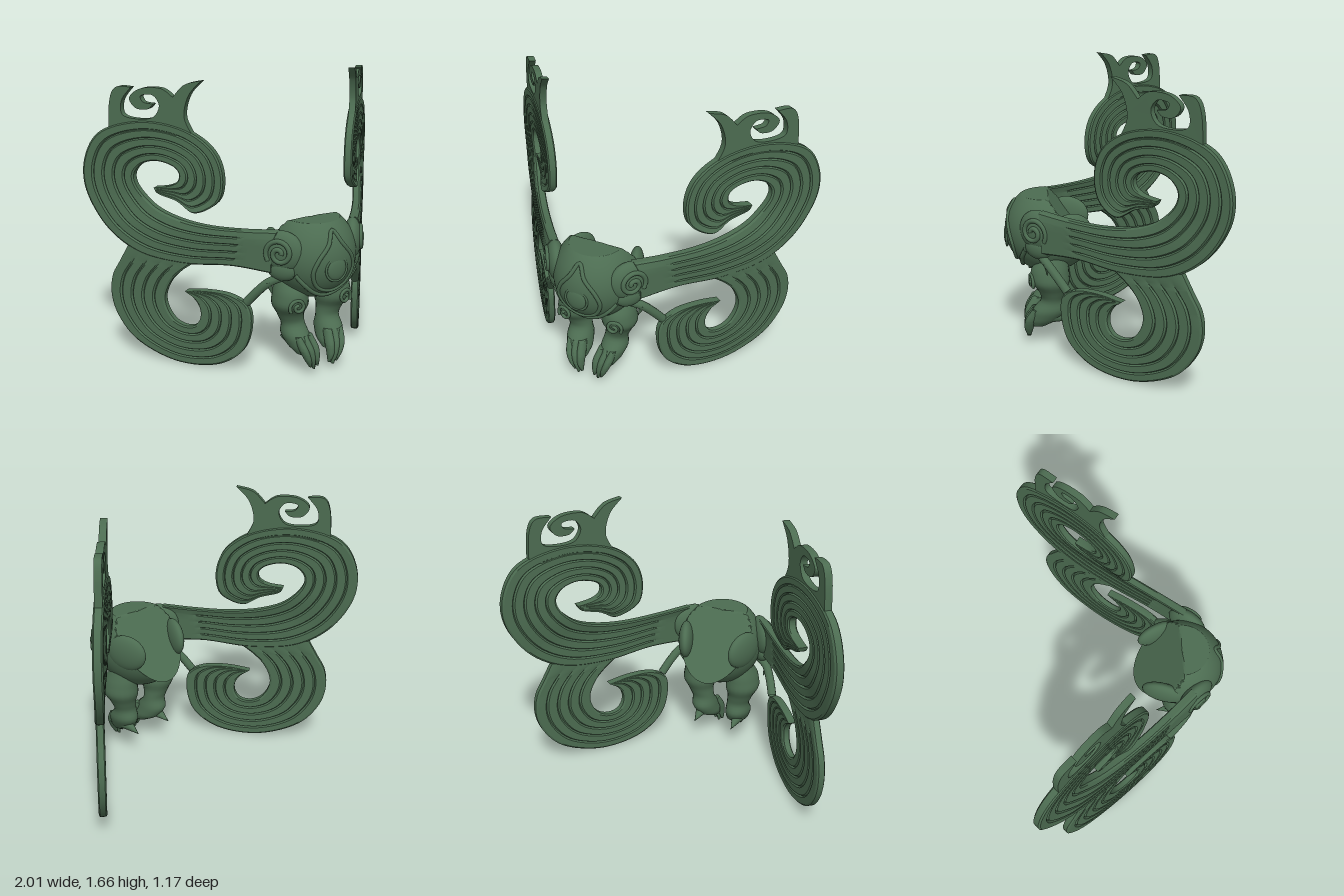
import * as THREE from 'three';
import { toCreasedNormals, mergeVertices } from 'three/addons/utils/BufferGeometryUtils.js';

const V = (x, y, z) => new THREE.Vector3(x, y, z);
const jade = new THREE.MeshStandardMaterial({ color: 0x4c6c51, side: THREE.DoubleSide });
jade.name = 'dark green';

const NORMAL = V(0.794, 0, 0.608);        // outward face of the wing
const YAW = Math.atan2(0.794, 0.608);

function mesh(name, geo, parent) {
  const m = new THREE.Mesh(geo, jade);
  m.name = name;
  parent.add(m);
  return m;
}

// Wing sheet: profile position (z, y) and offset k along the normal
function onWing(z, y, k) {
  const t = THREE.MathUtils.smoothstep(y, 0.8, 1.02);
  return V(0.547 - 0.766 * z - t * (0.071 + 0.126 * z), y, z).addScaledVector(NORMAL, k);
}
// Profile sketch units to (z, y)
const toZY = ([a, b]) => [(686 - a) / 227, (413 - b) / 227];

// Skin rings of equal size into a closed surface with outward faces
function loft(rings, crease = 0.6) {
  const n = rings[0].length, pos = [], idx = [];
  rings.forEach(r => r.forEach(p => pos.push(p.x, p.y, p.z)));
  for (let i = 0; i < rings.length - 1; i++)
    for (let j = 0; j < n; j++) {
      const a = i * n + j, b = i * n + (j + 1) % n;
      idx.push(a, b, a + n, b, b + n, a + n);
    }
  [0, rings.length - 1].forEach((i, e) => {
    const c = rings[i].reduce((s, p) => s.add(p), V(0, 0, 0)).divideScalar(n);
    const ci = pos.length / 3;
    pos.push(c.x, c.y, c.z);
    for (let j = 0; j < n; j++) {
      const a = i * n + j, b = i * n + (j + 1) % n;
      if (e) idx.push(a, b, ci); else idx.push(b, a, ci);
    }
  });
  const at = i => V(pos[3 * i], pos[3 * i + 1], pos[3 * i + 2]);
  let vol = 0;
  for (let i = 0; i < idx.length; i += 3) vol += at(idx[i]).dot(at(idx[i + 1]).cross(at(idx[i + 2])));
  if (vol < 0) idx.reverse();
  const g = new THREE.BufferGeometry();
  g.setAttribute('position', new THREE.Float32BufferAttribute(pos, 3));
  g.setIndex(idx);
  return toCreasedNormals(g, crease);
}

// Grooved ribbon between paired rails [innerA, innerB, outerA, outerB]
function ribbon(rails, half, fadeEnd) {
  const curve = o => new THREE.CatmullRomCurve3(rails.map(r => {
    const [z, y] = toZY([r[o], r[o + 1]]);
    return V(z, y, 0);
  }), false, 'centripetal');
  const inner = curve(0), outer = curve(2), N = 120;
  const profile = [[0, 0.7, 0], [0.035, 1, 0]];
  [0.2, 0.4, 0.6, 0.8].forEach(v => profile.push([v - 0.025, 1, 0], [v, 1, 1], [v + 0.025, 1, 0]));
  profile.push([0.965, 1, 0], [1, 0.7, 0]);
  const rings = [];
  for (let i = 0; i <= N; i++) {
    const t = i / N, a = inner.getPoint(t), b = outer.getPoint(t);
    const groove = 0.011 * THREE.MathUtils.smoothstep(t, 0.02, 0.12) *
      (fadeEnd ? 1 - THREE.MathUtils.smoothstep(t, 0.92, 0.95) : 1);
    const side = s => profile.map(([v, h, g]) => {
      const p = a.clone().lerp(b, v);
      return onWing(p.x, p.y, s * (half * h - groove * g));
    });
    rings.push([...side(1), ...side(-1).reverse()]);
  }
  return loft(rings, 0.5);
}

const UPPER = [
  [742, 176, 742, 176], [736, 175, 739, 183], [726, 172, 718, 192], [718, 166, 697, 205],
  [716, 159, 679, 193], [717, 153, 672, 160], [723, 146, 681, 124], [740, 141, 708, 99],
  [754, 146, 752, 90], [762, 157, 797, 107], [763, 168, 815, 145], [757, 183, 814, 190],
  [740, 201, 790, 237], [713, 213, 755, 264], [680, 219, 705, 272], [640, 219, 650, 267],
  [605, 216, 608, 270]];
const LOWER = [
  [688, 266, 768, 256], [708, 284, 779, 280], [720, 300, 788, 300], [727, 322, 791, 328],
  [724, 340, 784, 358], [715, 354, 762, 390], [704, 359, 715, 412], [694, 357, 668, 407],
  [688, 349, 640, 383], [686, 338, 630, 348], [688, 328, 633, 320], [694, 318, 650, 308],
  [700, 313, 678, 306], [703, 310, 703, 310]];

// Crest: curled spike and horn on the upper scroll
function crestGeometry() {
  const P = (...p) => p.map(q => { const [z, y] = toZY(q); return new THREE.Vector2(-z, y); });
  const s = new THREE.Shape();
  const start = P([701, 106])[0];
  s.moveTo(start.x, start.y);
  s.splineThru(P([709, 82], [704, 55], [691, 36]));
  s.splineThru(P([708, 42], [720, 58]));
  s.splineThru(P([732, 48], [752, 49], [764, 61], [758, 74], [746, 75], [740, 68]));
  s.splineThru(P([750, 66], [752, 58], [740, 57], [734, 70], [741, 85], [758, 88], [772, 83], [772, 65], [762, 48]));
  s.splineThru(P([778, 49], [785, 68], [787, 108]));
  const g = new THREE.ExtrudeGeometry(s, { depth: 0.04, bevelEnabled: false, curveSegments: 24 });
  const p = g.attributes.position;
  for (let i = 0; i < p.count; i++) {
    const q = onWing(-p.getX(i), p.getY(i), p.getZ(i) - 0.02);
    p.setXYZ(i, q.x, q.y, q.z);
  }
  return toCreasedNormals(g, 0.6);
}

function ball(name, parent, at, size) {
  const m = mesh(name, new THREE.SphereGeometry(1, 32, 20), parent);
  m.position.set(...at);
  m.scale.set(...size);
  return m;
}

const tube = (pts, r, closed = false, n = 48) =>
  new THREE.TubeGeometry(new THREE.CatmullRomCurve3(pts, closed), n, r, 10, closed);

// Raised spiral lying on a domed surface that faces local z
function spiral(R, turns, rad, dome, domeR) {
  const pts = [];
  for (let i = 0; i <= 28; i++) {
    const t = i / 28, r = R * (1 - 0.85 * t), a = -0.6 + t * turns * Math.PI * 2;
    pts.push(V(r * Math.cos(a), r * Math.sin(a), dome * Math.sqrt(Math.max(0, 1 - (r / domeR) ** 2))));
  }
  return tube(pts, rad, false, 80);
}

// Tapered limb from sections [x, y, z, rx, rz]
const limb = rows => {
  const c = o => new THREE.CatmullRomCurve3(rows.map(r => o ? V(r[3], r[4], 0) : V(r[0], r[1], r[2])));
  const path = c(0), size = c(1), rings = [];
  for (let i = 0; i <= 28; i++) {
    const p = path.getPoint(i / 28), s = size.getPoint(i / 28);
    rings.push(Array.from({ length: 20 }, (_, j) => {
      const a = j / 20 * Math.PI * 2;
      return V(p.x + s.x * Math.cos(a), p.y, p.z + s.y * Math.sin(a));
    }));
  }
  return loft(rings, 1.2);
};

const bodyZ = (x, y) => 0.31 + 0.26 * Math.sqrt(Math.max(0, 1 - (x / 0.25) ** 2 - ((y - 0.7) / 0.265) ** 2));

function buildBody(root) {
  // Rounded torso sliced flat on top and obliquely at the back
  const g = new THREE.SphereGeometry(1, 64, 56);
  g.deleteAttribute('uv');
  g.deleteAttribute('normal');
  const p = g.attributes.position;
  for (let i = 0; i < p.count; i++) {
    const z = 0.31 + p.getZ(i) * (p.getZ(i) < 0 ? 0.28 : 0.26);
    const y = 0.7 + p.getY(i) * 0.265;
    p.setXYZ(i, p.getX(i) * 0.25, Math.min(y, 0.905, 0.57 + (z - 0.06) * 1.32), z);
  }
  mesh('torso', toCreasedNormals(mergeVertices(g), 0.45), root);

  // Teardrop relief with a round boss on the chest
  const on = (x, y, d = 0) => V(x, y, bodyZ(x, y) + d);
  const half = [[0.045, 0.80], [0.11, 0.715], [0.13, 0.64], [0.09, 0.555]];
  const drop = [on(0, 0.87), ...half.map(q => on(...q)), on(0, 0.52),
    ...half.slice().reverse().map(([x, y]) => on(-x, y))];
  mesh('teardropRim', tube(drop, 0.012, true, 96), root);
  const lip = [-0.2, -0.15, -0.08, 0, 0.08, 0.15, 0.2].map(x => on(x, 0.485 + 3.6 * x * x));
  mesh('lowerLip', tube(lip, 0.014), root);
  ball('boss', root, [0, 0.66, 0.557], [0.062, 0.066, 0.02]);
  const ring = mesh('bossRing', new THREE.TorusGeometry(0.068, 0.007, 8, 40), root);
  ring.position.set(0, 0.66, 0.56);
}

function buildSide(side) {
  // Wing
  mesh('upperScroll', ribbon(UPPER, 0.026, true), side);
  mesh('lowerScroll', ribbon(LOWER, 0.023, false), side);
  mesh('crest', crestGeometry(), side);

  // Shoulder with spiral
  const shoulder = new THREE.Group();
  shoulder.name = 'shoulder';
  shoulder.position.set(0.235, 0.75, 0.375);
  shoulder.rotation.y = YAW;
  side.add(shoulder);
  ball('shoulderPad', shoulder, [0, 0, 0], [0.125, 0.12, 0.055]);
  ball('shoulderTail', shoulder, [0, -0.1, 0], [0.09, 0.07, 0.045]);
  mesh('shoulderSpiral', spiral(0.085, 1.6, 0.014, 0.055, 0.13), shoulder);
  ball('rearLobe', side, [0.19, 0.72, 0.19], [0.045, 0.11, 0.13]).rotation.y = 0.35;

  // Curved stem joining the body to the lower scroll
  mesh('stem', tube([V(0.2, 0.61, 0.38), V(0.29, 0.57, 0.33), V(0.335, 0.51, 0.28), V(0.375, 0.43, 0.22)], 0.026), side);
  const thorn = mesh('stemThorn', new THREE.ConeGeometry(0.022, 0.09, 12), side);
  thorn.position.set(0.285, 0.53, 0.33);
  thorn.rotation.z = Math.PI - 0.3;

  // Leg
  mesh('leg', limb([
    [0.15, 0.57, 0.29, 0.06, 0.07], [0.145, 0.49, 0.31, 0.095, 0.11], [0.145, 0.42, 0.31, 0.105, 0.115],
    [0.135, 0.35, 0.30, 0.08, 0.08], [0.12, 0.29, 0.30, 0.07, 0.065], [0.115, 0.22, 0.32, 0.078, 0.1],
    [0.1, 0.16, 0.35, 0.07, 0.09], [0.09, 0.12, 0.38, 0.05, 0.05]]), side);
  const hip = mesh('hipSpiral', spiral(0.05, 1.4, 0.01, 0.03, 0.08), side);
  hip.position.set(0.155, 0.42, 0.396);
  hip.rotation.y = 0.2;

  // Toes and heel spur
  [-1, 0, 1].forEach(k => {
    const len = k === 0 ? 0.035 : 0.05;
    mesh('toe', limb([
      [0.105 + k * 0.038, 0.23, 0.38, 0.02, 0.04], [0.09 + k * 0.036, 0.16, 0.425, 0.025, 0.036],
      [0.078 + k * 0.028, 0.1, 0.44, 0.02, 0.027], [0.065 + k * 0.023, len, 0.44, 0.007, 0.012]]), side);
  });
  const spur = mesh('heelSpur', new THREE.ConeGeometry(0.045, 0.14, 16), side);
  spur.position.set(0.125, 0.17, 0.235);
  spur.rotation.x = -Math.PI / 2 - 0.25;
}

export function createModel() {
  const root = new THREE.Group();
  root.name = 'wingedCreature';
  buildBody(root);
  [1, -1].forEach(s => {
    const side = new THREE.Group();
    side.name = s > 0 ? 'leftSide' : 'rightSide';
    side.scale.x = s;
    buildSide(side);
    root.add(side);
  });
  return root;
}
